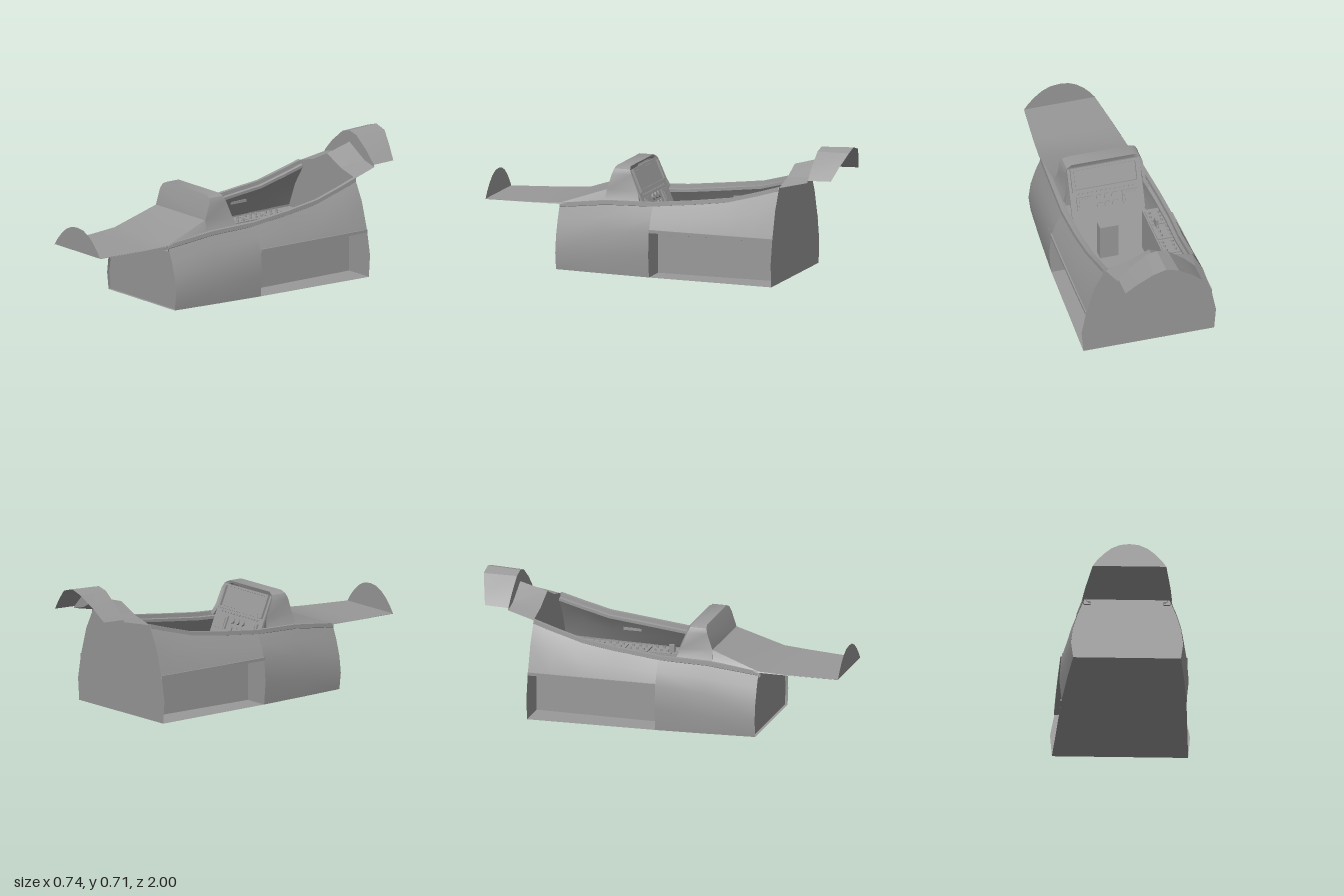
import * as THREE from 'three';
import { toCreasedNormals } from 'three/addons/utils/BufferGeometryUtils.js';

const grey = new THREE.MeshStandardMaterial({ color: 0x999999, side: THREE.DoubleSide });
grey.name = 'primer grey';

// Hull half-sections: z, then [x, y] from the floor edge up to the sill
const STATIONS = [
  [0.57, [[0.285, 0], [0.297, 0.09], [0.285, 0.18], [0.26, 0.26], [0.225, 0.345]]],
  [0.3, [[0.31, 0], [0.32, 0.1], [0.308, 0.22], [0.285, 0.3], [0.25, 0.38]]],
  [0.03, [[0.33, 0], [0.342, 0.12], [0.332, 0.245], [0.305, 0.315], [0.265, 0.39]]],
  [-0.2, [[0.34, 0], [0.352, 0.12], [0.338, 0.245], [0.31, 0.325], [0.265, 0.415]]],
  [-0.4, [[0.348, 0], [0.36, 0.12], [0.342, 0.245], [0.31, 0.345], [0.255, 0.44]]],
  [-0.55, [[0.355, 0], [0.366, 0.12], [0.344, 0.247], [0.305, 0.375], [0.247, 0.48]]],
  [-0.67, [[0.36, 0], [0.37, 0.12], [0.345, 0.25], [0.3, 0.4], [0.24, 0.515]]],
];
const FRONT = STATIONS.slice(0, 3), REAR = STATIONS.slice(2);

const mirror = (pts) => pts.map(([x, y, z]) => [-x, y, z]);
// Complete a half section (centre first or last) to both sides
const arch = (half) => [...half, ...mirror(half).reverse()];

// Skin a surface through rows of points
function loft(rows, closed = false, crease = 0.5) {
  const pos = [];
  for (let i = 0; i + 1 < rows.length; i++) {
    const a = rows[i], b = rows[i + 1], n = a.length;
    for (let j = 0; j < (closed ? n : n - 1); j++) {
      const k = (j + 1) % n;
      pos.push(...a[j], ...b[j], ...b[k], ...a[j], ...b[k], ...a[k]);
    }
  }
  const g = new THREE.BufferGeometry();
  g.setAttribute('position', new THREE.Float32BufferAttribute(pos, 3));
  g.computeVertexNormals();
  return toCreasedNormals(g, crease);
}

function add(parent, name, geometry, x = 0, y = 0, z = 0) {
  const m = new THREE.Mesh(geometry, grey);
  m.name = name;
  m.position.set(x, y, z);
  parent.add(m);
  return m;
}
const box = (parent, name, w, h, d, x, y, z) => add(parent, name, new THREE.BoxGeometry(w, h, d), x, y, z);

// Flat upright plate from half an outline, running from the edge to the centre
function plate(parent, name, half, z) {
  const pts = [...half, ...half.map(([x, y]) => [-x, y]).reverse()].map(([x, y]) => new THREE.Vector2(x, y));
  return add(parent, name, new THREE.ShapeGeometry(new THREE.Shape(pts)), 0, 0, z);
}

// Everything that exists once per side
function buildSide(s) {
  const side = new THREE.Group();
  side.name = s > 0 ? 'leftSide' : 'rightSide';
  const skin = (name, rows, closed) =>
    add(side, name, loft(rows.map((r) => r.map(([x, y, z]) => [x * s, y, z])), closed));
  const sec = ([z, p]) => p.map(([x, y]) => [x, y, z]);

  skin('frontHullSkin', FRONT.map(sec));
  skin('rearHullSkin', REAR.map((st) => sec(st).slice(2)));

  // canopy sill: raised lip with a lower ledge inside
  skin('canopySill', STATIONS.map(([z, p]) => {
    const [x, y] = p[4];
    return [[x + 0.01, y - 0.018, z], [x + 0.008, y + 0.003, z], [x - 0.012, y + 0.003, z],
      [x - 0.014, y - 0.018, z], [x - 0.032, y - 0.02, z], [x - 0.032, y - 0.035, z], [x, y - 0.035, z]];
  }), true);
  skin('cockpitLiner', STATIONS.slice(1).map(([z, p]) => [
    [p[4][0] - 0.03, p[4][1] - 0.035, z], [p[3][0] - 0.025, p[3][1] - 0.02, z], [p[2][0] - 0.015, 0.245, z]]));

  // side bay: rail above, console as its ceiling, tub wall inside
  skin('bayRail', REAR.map(([z, p]) => {
    const x = p[2][0];
    return [[x + 0.004, 0.24, z], [x + 0.004, 0.256, z], [x - 0.02, 0.256, z], [x - 0.02, 0.24, z]];
  }), true);
  skin('consoleTop', [[0.1, 0.325], ...REAR.map(([z, p]) => [z, p[2][0]])]
    .map(([z, x]) => [[0.19, 0.245, z], [x, 0.245, z]]));
  skin('tubWall', [[[0.19, 0, 0.1], [0.19, 0.245, 0.1]], [[0.19, 0, -0.67], [0.19, 0.245, -0.67]]]);
  skin('bayFrontWall', [
    [[0.19, 0, 0.03], [0.19, 0.12, 0.03], [0.19, 0.245, 0.03]],
    [[0.33, 0, 0.03], [0.342, 0.12, 0.03], [0.332, 0.245, 0.03]]]);
  for (let i = 0; i < 6; i++) box(side, 'bayRib', 0.12, 0.012, 0.012, s * 0.26, 0.238, -0.08 - i * 0.1);

  // console panels with rows of knobs
  const knob = new THREE.CylinderGeometry(0.006, 0.007, 0.012, 10);
  for (let i = 0; i < 5; i++) {
    const z = 0.02 - i * 0.13;
    box(side, 'consolePanel', 0.095, 0.006, 0.12, s * 0.245, 0.248, z);
    for (let j = 0; j < 6; j++)
      add(side, 'consoleKnob', knob, s * (0.215 + (j % 2) * 0.05 + (i % 2) * 0.01), 0.257, z - 0.035 + (j >> 1) * 0.035);
  }
  box(side, 'consoleLever', 0.016, 0.045, 0.03, s * 0.225, 0.27, -0.05);
  box(side, 'wallHandle', 0.012, 0.015, 0.1, s * 0.262, 0.345, -0.28);
  return side;
}

function buildInstrumentPanel() {
  const g = new THREE.Group();
  g.name = 'instrumentPanel';
  g.position.set(0, 0.42, 0.138);
  g.rotation.x = 0.4;
  box(g, 'panelBoard', 0.4, 0.28, 0.01, 0, -0.01, 0);

  // screen inside a raised frame
  box(g, 'displayScreen', 0.33, 0.1, 0.006, 0, 0.065, -0.007);
  for (const s of [-1, 1]) {
    box(g, 'displayFrameSide', 0.014, 0.13, 0.016, s * 0.178, 0.065, -0.01);
    box(g, 'displayFrameEdge', 0.37, 0.012, 0.016, 0, 0.065 + s * 0.06, -0.01);
    box(g, 'sideDisplay', 0.085, 0.07, 0.012, s * 0.125, -0.07, -0.009);
    box(g, 'sideDisplayScreen', 0.062, 0.05, 0.004, s * 0.125, -0.07, -0.017);
  }
  for (let i = 0; i < 13; i++) box(g, 'button', 0.01, 0.007, 0.008, -0.15 + i * 0.025, -0.016, -0.009);

  // round gauges in the middle
  const gauge = new THREE.CylinderGeometry(0.017, 0.017, 0.012, 16).rotateX(Math.PI / 2);
  for (let i = 0; i < 6; i++) add(g, 'gauge', gauge, -0.042 + (i % 3) * 0.042, -0.05 - Math.floor(i / 3) * 0.045, -0.009);
  return g;
}

export function createModel() {
  const model = new THREE.Group();
  model.name = 'cockpitSection';
  model.add(buildSide(1), buildSide(-1), buildInstrumentPanel());

  // floor and bulkheads
  add(model, 'floor', loft(STATIONS.map(([z, p]) => [[p[0][0], 0, z], [-p[0][0], 0, z]])));
  plate(model, 'rearBulkhead', [...STATIONS[6][1], [0.12, 0.545], [0, 0.6]], -0.67);
  plate(model, 'frontBulkhead', STATIONS[0][1], 0.555);
  box(model, 'pedestal', 0.1, 0.2, 0.06, 0, 0.1, 0.1);

  // nose deck ending in an arched frame
  add(model, 'noseDeck', loft([
    [[0.195, 0.331, 1], [0.195, 0.333, 1]],
    [[0.225, 0.338, 0.72], [0.223, 0.34, 0.72]],
    [[0.237, 0.342, 0.57], [0.233, 0.348, 0.57]],
    [[0.232, 0.38, 0.31], [0.21, 0.435, 0.31]],
  ].map(arch)));
  plate(model, 'noseFrame', [[0.195, 0.333], [0.17, 0.368], [0.135, 0.405], [0.095, 0.437], [0.05, 0.457], [0, 0.463]], 1);

  // glare shield hood over the instruments
  const hoodFront = [[0.235, 0.38, 0.315], [0.212, 0.435, 0.31], [0.213, 0.52, 0.282], [0.2, 0.547, 0.273], [0.172, 0.56, 0.268]];
  const hoodRear = [[0.24, 0.385, 0.118], [0.22, 0.43, 0.135], [0.214, 0.52, 0.172], [0.2, 0.547, 0.184], [0.172, 0.56, 0.19]];
  const hoodInner = hoodRear.map(([x, y, z]) => [x - 0.014, y - 0.012, z + 0.005]);
  const hoodDeep = hoodInner.map(([x, y, z]) => [x, y, z + 0.04]);
  add(model, 'hoodFrontFace', loft([hoodFront, mirror(hoodFront)]));
  add(model, 'hoodShell', loft([hoodFront, hoodRear, hoodInner, hoodDeep].map(arch)));

  // dorsal spine: two roof plates with a step between them
  const spineA = arch([[0.24, 0.512, -0.67], [0.18, 0.53, -0.67], [0.12, 0.545, -0.67], [0, 0.6, -0.67]]);
  const spineB = arch([[0.215, 0.545, -0.82], [0.18, 0.553, -0.82], [0.13, 0.565, -0.82], [0, 0.64, -0.82]]);
  const spineC = arch([[0.21, 0.556, -0.82], [0.15, 0.618, -0.82], [0.06, 0.687, -0.82], [0, 0.702, -0.82]]);
  const spineD = arch([[0.21, 0.56, -0.95], [0.15, 0.622, -0.972], [0.07, 0.69, -1], [0, 0.71, -1]]);
  add(model, 'frontSpine', loft([spineA, spineB], false, 0.2));
  add(model, 'spineStep', loft([spineB, spineC], false, 0.2));
  add(model, 'rearSpine', loft([spineC, spineD], false, 0.2));
  return model;
}
